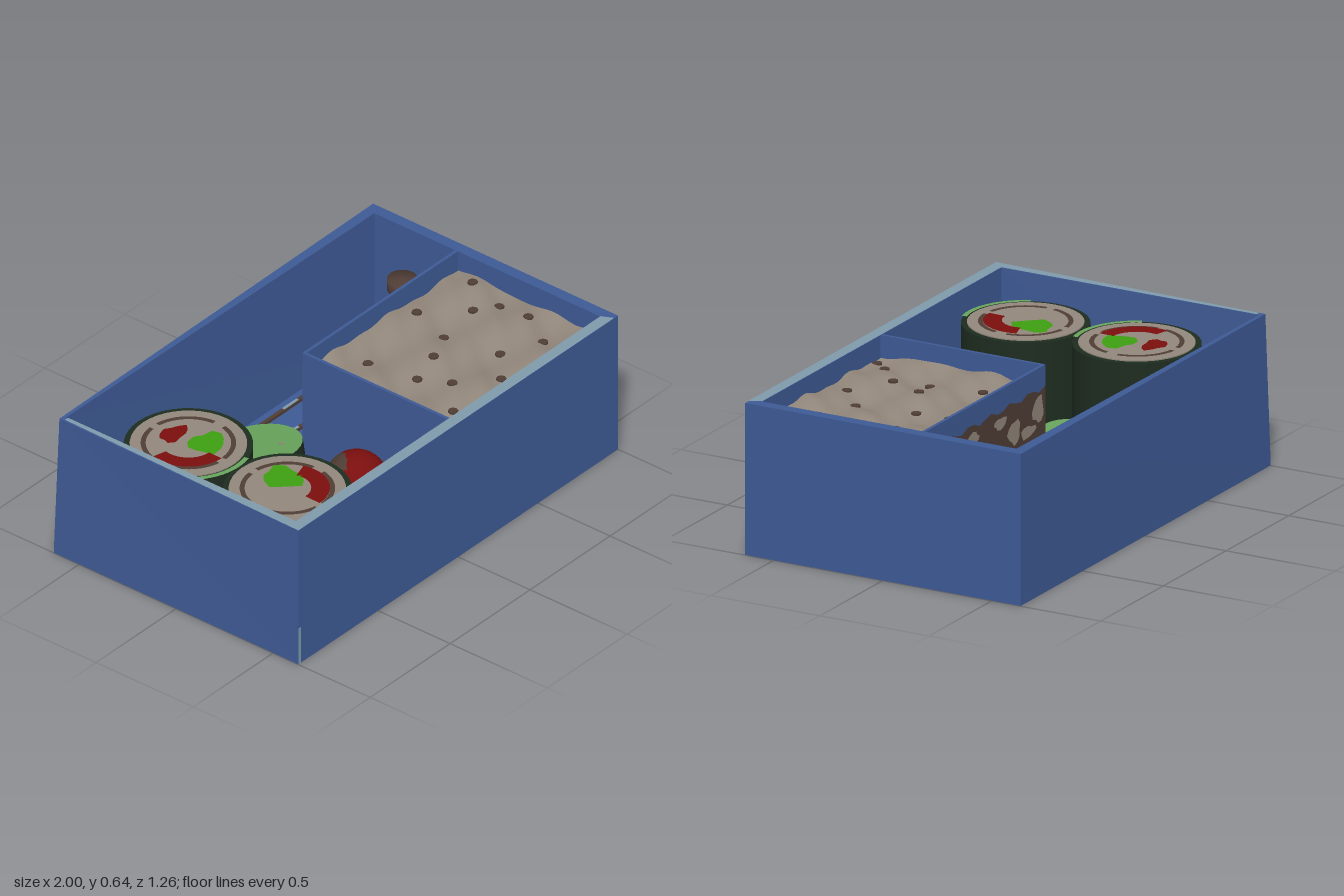
import * as THREE from 'three';

const paint = (name, color) => {
  const m = new THREE.MeshStandardMaterial({ color });
  m.name = name;
  return m;
};

export function createModel() {
  const blue = paint('box blue', 0x3e5a95), steel = paint('rim steel blue', 0x7f9aab);
  const tan = paint('rice tan', 0x92877b), brown = paint('dark brown', 0x503d35);
  const nori = paint('seaweed green', 0x1e2c20), leaf = paint('bright green', 0x3ea012);
  const pale = paint('cucumber green', 0x68a45c), red = paint('deep red', 0x7a0f0e);
  const model = new THREE.Group();
  model.name = 'lunchBox';

  const add = (name, geo, mat, x = 0, y = 0, z = 0, parent = model) => {
    const m = new THREE.Mesh(geo, mat);
    m.name = name;
    m.position.set(x, y, z);
    parent.add(m);
    return m;
  };
  // Flat horizontal plate from [x, z] points, facing up or down
  const plate = (pts, down = false) => {
    const s = new THREE.Shape(pts.map(([x, z]) => new THREE.Vector2(x, down ? z : -z)));
    return new THREE.ShapeGeometry(s).rotateX(down ? Math.PI / 2 : -Math.PI / 2);
  };
  // Points of a circular arc band in the x-z plane
  const band = (r0, r1, a0, a1, n = 14) => {
    const pts = [];
    for (let i = 0; i <= n; i++) {
      const a = a0 + (a1 - a0) * i / n;
      pts.push([r1 * Math.cos(a), r1 * Math.sin(a)]);
    }
    for (let i = n; i >= 0; i--) {
      const a = a0 + (a1 - a0) * i / n;
      pts.push([r0 * Math.cos(a), r0 * Math.sin(a)]);
    }
    return pts;
  };
  // Irregular rounded patch
  const blob = (cx, cz, rx, rz, seed) => Array.from({ length: 12 }, (_, i) => {
    const a = i / 12 * Math.PI * 2, k = 1 + 0.16 * Math.sin(a * 3 + seed) + 0.08 * Math.cos(a * 5 + seed);
    return [cx + rx * k * Math.cos(a), cz + rz * k * Math.sin(a)];
  });

  // Box walls, with the upper back corner drawn slightly inward
  const H = 0.64;
  const outline = new THREE.Shape([[-1, -0.63], [1, -0.63], [1, 0.633], [-1, 0.63]].map(p => new THREE.Vector2(...p)));
  outline.holes.push(new THREE.Path([[-0.955, -0.58], [-0.955, 0.59], [0.95, 0.585], [0.95, -0.58]].map(p => new THREE.Vector2(...p))));
  const walls = new THREE.ExtrudeGeometry(outline, { depth: H - 0.002, bevelEnabled: false }).rotateX(-Math.PI / 2);
  const wp = walls.attributes.position;
  for (let i = 0; i < wp.count; i++) {
    if (wp.getY(i) > 0.3 && wp.getX(i) < -0.9 && wp.getZ(i) < -0.5) {
      const outer = wp.getX(i) < -0.97;
      wp.setX(i, wp.getX(i) + (outer ? 0.017 : -0.004));
      wp.setZ(i, wp.getZ(i) + (outer ? 0.015 : -0.01));
    }
  }
  walls.computeVertexNormals();
  add('boxWalls', walls, blue, 0, 0.001, 0);
  add('boxFloor', new THREE.BoxGeometry(1.96, 0.03, 1.22), blue, 0, 0.016, 0);
  add('frontRim', plate([[-1, 0.63], [0.975, 0.63], [0.95, 0.58], [-0.955, 0.58]]), steel, 0, H + 0.001, 0);
  add('sideRim', plate([[-1, 0.63], [-0.955, 0.58], [-0.959, -0.59], [-0.978, -0.59]]), steel, 0, H + 0.001, 0);
  add('frontChip', new THREE.BoxGeometry(0.014, 0.17, 0.002), steel, -0.992, 0.086, 0.63);

  // Stains under the box
  add('baseStain', plate([[0, -0.165], [0.24, -0.165], [0.24, 0.115], [0, 0.115]], true), brown);
  add('baseStain', plate(blob(-0.7, -0.40, 0.21, 0.055, 0.5), true), brown);

  // Compartment dividers
  add('sideDivider', new THREE.BoxGeometry(0.014, 0.61, 0.745), blue, 0, 0.335, 0.21);
  add('backDivider', new THREE.BoxGeometry(0.955, 0.61, 0.014), blue, 0.474, 0.335, -0.162);

  // Rice block with a wavy top
  const riceTop = (x, z) => 0.557 + 0.009 * Math.sin(x * 17 + z * 6) + 0.008 * Math.sin(z * 21 - x * 5) + 0.005 * Math.sin(x * 37 + z * 29);
  const rice = new THREE.BoxGeometry(0.94, 0.52, 0.73, 30, 1, 24);
  rice.translate(0.478, 0.29, 0.214);
  const rp = rice.attributes.position;
  for (let i = 0; i < rp.count; i++) {
    if (rp.getY(i) > 0.3) rp.setY(i, riceTop(rp.getX(i), rp.getZ(i)));
  }
  rice.computeVertexNormals();
  add('riceBlock', rice, [brown, brown, tan, brown, brown, brown]);

  // Sesame seeds
  const seeds = [[0.2, 0], [0.59, -0.07], [0.89, -0.03], [0.54, 0.11], [0.76, 0.08], [0.85, 0.14], [0.38, 0.19],
    [0.24, 0.22], [0.85, 0.29], [0.29, 0.36], [0.59, 0.36], [0.76, 0.44], [0.15, 0.48], [0.45, 0.48], [0.07, 0.56]];
  for (const [x, z] of seeds) add('seed', new THREE.CylinderGeometry(0.021, 0.021, 0.008, 8), brown, x, riceTop(x, z) + 0.002, z);

  // Brown crust on the back of the divider, with rice showing through
  const crust = new THREE.Shape();
  crust.moveTo(0, 0.035).lineTo(0, 0.55);
  for (let i = 1; i <= 20; i++) crust.lineTo(i * 0.0474, 0.55 + 0.012 * Math.sin(i * 1.9));
  crust.lineTo(0.948, 0.035);
  const crustGeo = new THREE.ShapeGeometry(crust);
  add('crust', crustGeo, brown, 0.948, 0, -0.171).rotation.y = Math.PI;
  for (const [x, y, w, h, s] of [[0.36, 0.5, 0.05, 0.025, 0], [0.25, 0.43, 0.05, 0.05, 1], [0.06, 0.47, 0.045, 0.055, 2], [0.58, 0.5, 0.05, 0.025, 3], [0.82, 0.5, 0.04, 0.025, 4], [0.14, 0.4, 0.06, 0.025, 5]]) {
    add('crustRice', plate(blob(0, 0, w, h, s)).rotateX(-Math.PI / 2), tan, x, y, -0.173);
  }

  // Seaweed rolls
  const roll = (z, fillings) => {
    const g = new THREE.Group();
    g.name = 'seaweedRoll';
    g.position.set(-0.68, 0, z);
    model.add(g);
    add('seaweedWrap', new THREE.CylinderGeometry(0.258, 0.258, 0.505, 40), nori, 0, 0.285, 0, g);
    add('rollRice', new THREE.CylinderGeometry(0.234, 0.234, 0.006, 40), tan, 0, 0.539, 0, g);
    for (const a of [0.2, 1.75, 3.3, 4.85]) add('rollRing', plate(band(0.17, 0.19, a, a + 1.35)), brown, 0, 0.5435, 0, g);
    const skin = new THREE.CylinderGeometry(0.262, 0.262, 0.46, 16, 1, true, Math.PI * 1.42, 0.9);
    const skinMat = pale;
    add('greenSkin', skin, skinMat, 0, 0.3, 0, g);
    add('greenEdge', plate(band(0.242, 0.263, 1.3, 2.7)), pale, 0, 0.541, 0, g);
    for (const [name, pts, mat] of fillings) add(name, plate(pts), mat, 0, 0.546, 0, g);
  };
  roll(-0.2, [
    ['redFilling', blob(0.01, -0.085, 0.07, 0.045, 1), red],
    ['redFilling', band(0.11, 0.175, 1.6, 3.4), red],
    ['greenFilling', blob(0.045, 0.06, 0.08, 0.07, 2), leaf],
  ]);
  roll(0.31, [
    ['redFilling', band(0.095, 0.17, -0.3, 1.6), red],
    ['greenFilling', blob(0.045, -0.06, 0.075, 0.085, 4), leaf],
  ]);

  // Leaning cucumber slices
  const slice = (y, z, h) => {
    const s = add('cucumberSlice', new THREE.CylinderGeometry(0.18, 0.18, h, 32), [nori, pale, nori], -0.21, y, z);
    s.rotation.x = -0.18;
    for (const [x, dz] of [[-0.1, -0.03], [-0.01, -0.09], [0.05, 0.08]]) {
      add('cucumberSeed', new THREE.CylinderGeometry(0.01, 0.01, 0.004, 6), tan, x, h / 2 + 0.001, dz, s);
    }
  };
  slice(0.13, -0.07, 0.1);
  slice(0.23, -0.22, 0.1);

  // Tomatoes with a brown blush on one side
  const tomato = (x, y, z, r, dir) => {
    const geo = new THREE.SphereGeometry(r, 28, 18).toNonIndexed();
    const n = geo.attributes.normal, d = new THREE.Vector3(...dir).normalize(), v = new THREE.Vector3();
    for (let i = 0; i < n.count; i += 3) {
      v.set(0, 0, 0);
      for (let j = 0; j < 3; j++) v.add(new THREE.Vector3().fromBufferAttribute(n, i + j));
      v.normalize();
      const wave = 0.12 * Math.sin(v.x * 9 + v.z * 5) + 0.08 * Math.sin(v.y * 13);
      geo.addGroup(i, 3, v.dot(d) + wave > 0.66 ? 1 : 0);
    }
    add('tomato', geo, [red, brown], x, y, z);
  };
  tomato(-0.15, 0.27, 0.23, 0.13, [-0.5, 0.5, -0.8]);
  tomato(-0.26, 0.19, 0.43, 0.125, [0.1, 0.4, -1]);
  tomato(-0.13, 0.32, 0.48, 0.13, [-0.5, 0.3, -0.8]);
  add('tomatoStem', new THREE.CylinderGeometry(0.008, 0.016, 0.025, 6), leaf, -0.125, 0.452, 0.455);

  // Sauce bottle
  const profile = [[0, 0.03], [0.1, 0.03], [0.125, 0.1], [0.12, 0.24], [0.085, 0.36], [0.05, 0.42], [0.05, 0.45], [0.062, 0.46], [0.062, 0.51], [0, 0.512]];
  add('sauceBottle', new THREE.LatheGeometry(profile.map(p => new THREE.Vector2(...p)), 24), brown, 0.81, 0, -0.325);
  const spout = add('bottleSpout', new THREE.ConeGeometry(0.04, 0.06, 8), brown, 0.81, 0.15, -0.2);
  spout.rotation.x = Math.PI / 2;

  // Chopsticks lying on the floor
  const stick = (x0, z0, x1, z1) => {
    const g = new THREE.Group();
    g.name = 'chopstick';
    g.position.set((x0 + x1) / 2, 0.037, (z0 + z1) / 2);
    g.rotation.y = -Math.atan2(z1 - z0, x1 - x0);
    model.add(g);
    const len = Math.hypot(x1 - x0, z1 - z0);
    add('stickShaft', new THREE.BoxGeometry(len, 0.014, 0.017), brown, 0, 0, 0, g);
    for (const t of [-0.26, 0.36]) add('stickInlay', new THREE.BoxGeometry(0.09, 0.004, 0.012), steel, t * len, 0.008, 0, g);
  };
  stick(-0.86, -0.535, 0.57, -0.54);
  stick(-0.88, -0.515, 0.4, -0.4);

  return model;
}
